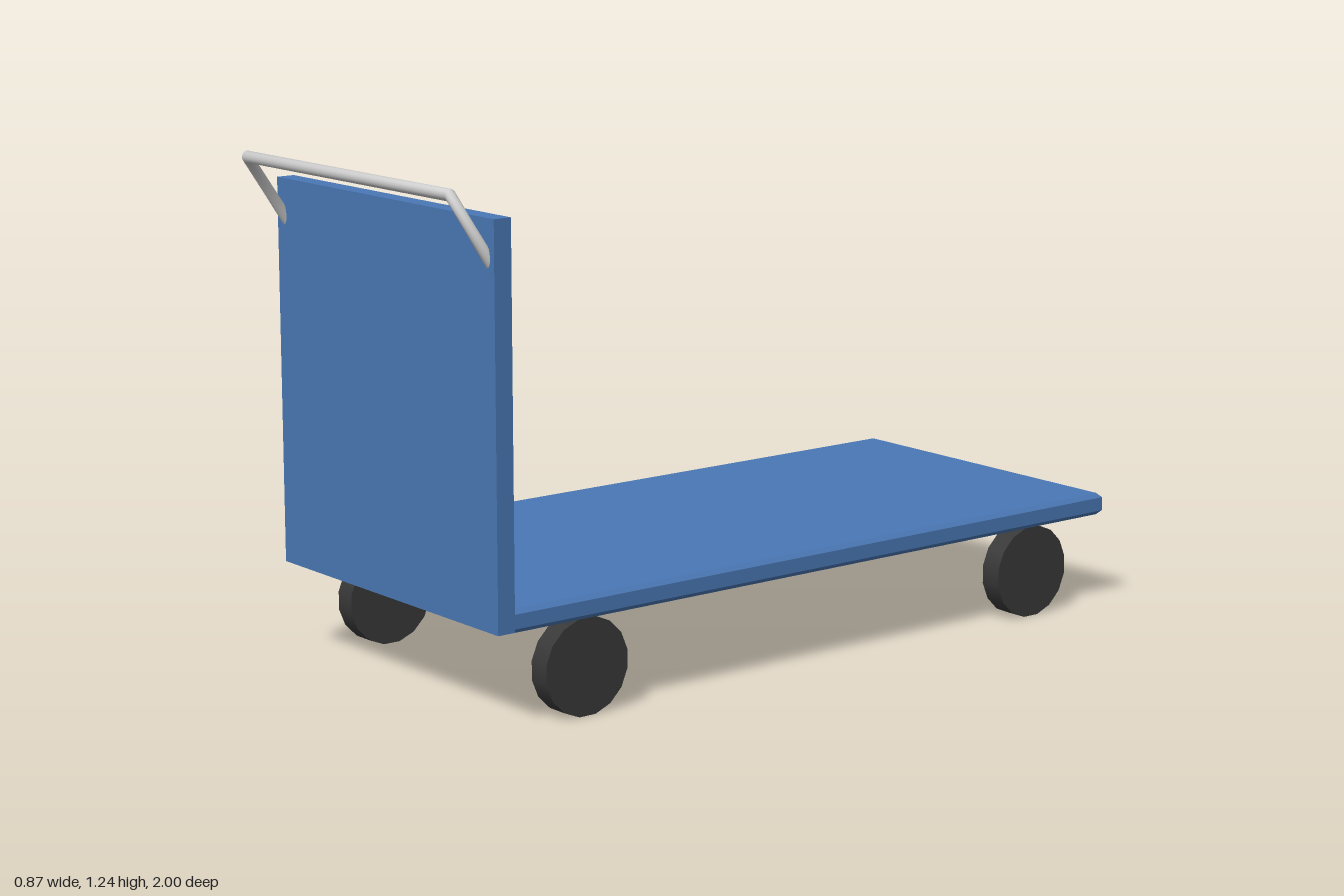
import * as THREE from 'three';

const blue = new THREE.MeshStandardMaterial({ color: 0x4a78b5 });
const rubber = new THREE.MeshStandardMaterial({ color: 0x383838 });
const metal = new THREE.MeshStandardMaterial({ color: 0xcccccc });

function part(name, geometry, material, x = 0, y = 0, z = 0) {
  const mesh = new THREE.Mesh(geometry, material);
  mesh.name = name;
  mesh.position.set(x, y, z);
  return mesh;
}

// Flat slab with a chamfer around its top and bottom edges
function chamferedSlab(width, height, depth, chamfer) {
  const w = width / 2 - chamfer, d = depth / 2 - chamfer;
  const outline = new THREE.Shape([
    new THREE.Vector2(-w, -d), new THREE.Vector2(w, -d),
    new THREE.Vector2(w, d), new THREE.Vector2(-w, d),
  ]);
  const slab = new THREE.ExtrudeGeometry(outline, {
    depth: height - 2 * chamfer, bevelEnabled: true,
    bevelSize: chamfer, bevelThickness: chamfer, bevelSegments: 1,
  });
  slab.translate(0, 0, chamfer - height / 2);
  return slab.rotateX(-Math.PI / 2);
}

// Bent tube: two sloping arms that flatten into the ends of a cross bar
function handleGeometry(radius, sides) {
  const X = new THREE.Vector3(1, 0, 0);
  const up = new THREE.Vector3(0, 0.145, 0.097).normalize();
  const n = up.clone().cross(X).negate();
  const foot = (s) => ({ c: new THREE.Vector3(0.41 * s, 1.041, 0.865), out: X.clone().multiplyScalar(s) });
  const corner = (s) => ({ c: new THREE.Vector3(0.412 * s, 1.222, 0.986), out: up });
  const rings = [foot(1), corner(1), corner(-1), foot(-1)];
  const pos = [], index = [];
  rings.forEach(({ c, out }, i) => {
    for (let j = 0; j < sides; j++) {
      const t = (j / sides) * Math.PI * 2;
      const p = c.clone().addScaledVector(n, radius * Math.cos(t)).addScaledVector(out, radius * Math.sin(t));
      pos.push(p.x, p.y, p.z);
      if (i === rings.length - 1) continue;
      const a = i * sides + j, b = i * sides + (j + 1) % sides;
      index.push(a, b, a + sides, b, b + sides, a + sides);
    }
  });
  const g = new THREE.BufferGeometry();
  g.setAttribute('position', new THREE.Float32BufferAttribute(pos, 3));
  g.setIndex(index);
  g.computeVertexNormals();
  return g;
}

export function createModel() {
  const cart = new THREE.Group();
  cart.name = 'platformCart';

  // Load deck and upright panel
  cart.add(part('deck', chamferedSlab(0.872, 0.056, 1.865, 0.011), blue, 0, 0.257, -0.0675));
  cart.add(part('pushPanel', new THREE.BoxGeometry(0.874, 0.931, 0.046), blue, 0, 0.6985, 0.867));

  // Push handle
  cart.add(part('handle', handleGeometry(0.014, 16), metal));

  // Four wheels
  const wheel = new THREE.CylinderGeometry(0.117, 0.117, 0.056, 16);
  wheel.rotateY(Math.PI / 16).rotateZ(Math.PI / 2);
  for (const [end, z] of [['front', 0.635], ['rear', -0.765]]) {
    for (const [side, s] of [['Left', 1], ['Right', -1]]) {
      cart.add(part(`${end}${side}Wheel`, wheel, rubber, 0.397 * s, 0.115, z));
    }
  }
  return cart;
}
